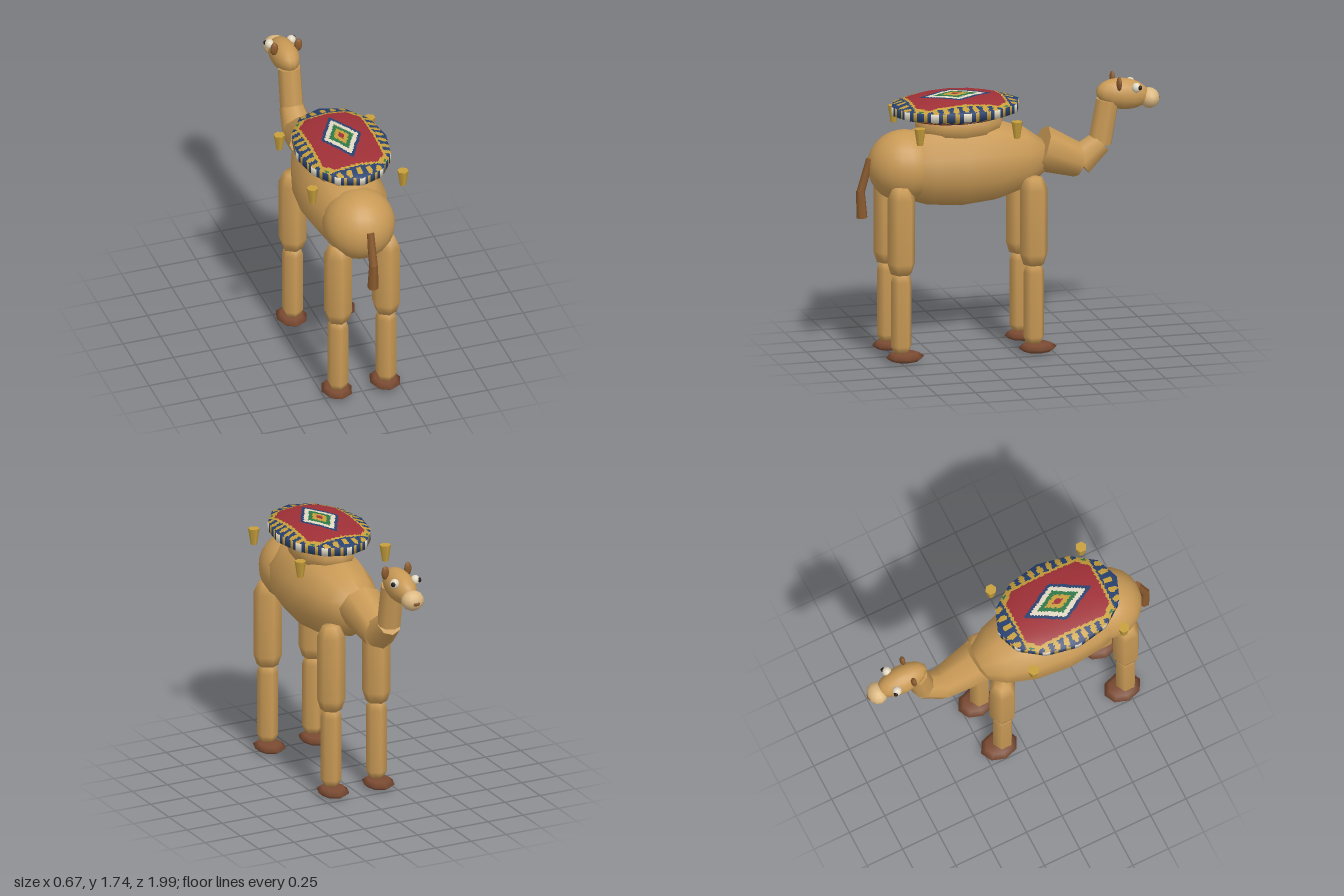
import * as THREE from 'three';

const mat = (name, color) => {
  const m = new THREE.MeshStandardMaterial({ color });
  m.name = name;
  return m;
};

export function createModel() {
  const root = new THREE.Group();
  root.name = 'saddledCamel';
  const tan = mat('tan coat', 0xc99a56), hoof = mat('hoof brown', 0x7a4a32);
  const brown = mat('dark coat', 0x8a5a2e), pale = mat('pale muzzle', 0xdcb982);
  const cream = mat('cream', 0xe2d9c2), dark = mat('pupil', 0x1c1714);
  const red = mat('rug red', 0x9f3037), blue = mat('rug blue', 0x28416f);
  const gold = mat('rug gold', 0xc79f3c), green = mat('rug green', 0x2f7848);

  const add = (name, geo, material, x = 0, y = 0, z = 0) => {
    const m = new THREE.Mesh(geo, material);
    m.name = name;
    m.position.set(x, y, z);
    root.add(m);
    return m;
  };
  const ball = (rx, ry, rz, w = 16, h = 12) => new THREE.SphereGeometry(1, w, h).scale(rx, ry, rz);
  // tapered rod between two points in the x = 0 plane, given as [z, y, radius]
  const rod = (name, a, b, sides, material) => {
    const p = new THREE.Vector3(0, a[1], a[0]), q = new THREE.Vector3(0, b[1], b[0]);
    const d = q.clone().sub(p);
    const m = add(name, new THREE.CylinderGeometry(b[2], a[2], d.length(), sides), material);
    m.position.copy(p).add(q).multiplyScalar(0.5);
    m.quaternion.setFromUnitVectors(new THREE.Vector3(0, 1, 0), d.normalize());
  };
  const lathe = (pts, sides) =>
    new THREE.LatheGeometry(pts.map(([r, y]) => new THREE.Vector2(r, y)), sides);

  // Body
  const barrel = new THREE.SphereGeometry(1, 10, 8).rotateY(Math.PI / 2).rotateX(Math.PI / 2);
  add('body', barrel.scale(0.27, 0.285, 0.58), tan, 0, 1.238, 0.31);
  add('rump', ball(0.23, 0.23, 0.235, 20, 14), tan, 0, 1.24, 0.68);
  add('hump', ball(0.2, 0.15, 0.29, 12, 8), tan, 0, 1.5, 0.32);

  // Neck
  rod('neckBase', [-0.215, 1.288, 0.15], [-0.475, 1.185, 0.107], 8, tan);
  rod('neckMiddle', [-0.465, 1.185, 0.107], [-0.61, 1.3, 0.08], 8, tan);
  rod('neckTop', [-0.605, 1.295, 0.077], [-0.655, 1.57, 0.075], 8, tan);

  // Head
  add('head', ball(0.088, 0.1, 0.175, 14, 10), tan, 0, 1.605, -0.755).rotation.x = -0.15;
  add('muzzle', ball(0.075, 0.065, 0.065, 12, 8), pale, 0, 1.565, -0.93);
  add('nose', ball(0.03, 0.018, 0.025, 8, 6), brown, 0, 1.56, -0.975);
  for (const s of [1, -1]) {
    add('eye', ball(0.03, 0.032, 0.03, 12, 8), cream, s * 0.073, 1.655, -0.825);
    add('pupil', ball(0.015, 0.016, 0.015, 8, 6), dark, s * 0.092, 1.658, -0.842);
    add('ear', ball(0.027, 0.046, 0.018, 8, 6), brown, s * 0.08, 1.69, -0.71);
  }

  // Tail
  rod('tailTop', [0.905, 1.3, 0.025], [0.965, 1.09, 0.028], 6, brown);
  rod('tailTip', [0.967, 1.1, 0.028], [0.957, 0.92, 0.036], 6, brown);

  // Legs and feet
  const upper = lathe([[0, 0.56], [0.068, 0.58], [0.09, 0.65], [0.09, 1.07], [0.055, 1.145], [0, 1.155]], 6);
  const lower = lathe([[0, 0.06], [0.05, 0.07], [0.067, 0.11], [0.067, 0.53], [0.05, 0.585], [0, 0.595]], 6);
  for (const x of [0.161, -0.161]) for (const z of [-0.125, 0.745]) {
    add('upperLeg', upper, tan, x, 0, z);
    add('lowerLeg', lower, tan, x, 0, z);
    add('foot', ball(0.1, 0.036, 0.125, 8, 4), hoof, x, 0.036, z - 0.025);
  }

  // Saddle rug: a twelve-sided cushion whose faces take the woven pattern
  const RX = 0.315, RY = 0.09, RZ = 0.44, SUB = 16, COLS = 12 * SUB;
  const palette = [red, blue, gold, green, cream];
  const [R, B, G, N, C] = [0, 1, 2, 3, 4];
  const pattern = (x, z) => {
    const ax = Math.abs(x), az = Math.abs(z);
    const d = ax / 0.135 + az / 0.24;
    if (d < 1) return d < 0.16 ? R : d < 0.38 ? G : d < 0.6 ? N : d < 0.84 ? C : B;
    if (ax < 0.203 && az < 0.295) return ax + az < 0.43 ? R : ax + az < 0.465 ? G : N;
    if (ax < 0.221 && az < 0.312) return G;
    // gold dots along the blue border
    const onSide = ax >= 0.221;
    const along = onSide ? z : x, across = onSide ? ax - 0.25 : az - 0.355;
    const u = along / 0.065 - Math.round(along / 0.065);
    return Math.hypot(u / 0.28, across / 0.034) < 1 ? G : B;
  };
  const bandStripe = (j) => {
    const c = Math.abs(((j + SUB / 2) % SUB) - SUB / 2 + 0.5);
    return c < 2.5 ? C : c < 4.5 ? B : c < 6.5 ? G : B;
  };
  const rows = [];
  [20, 14, 1, 14, 20].forEach((n, k) => {
    const a = (k * Math.PI) / 5, b = ((k + 1) * Math.PI) / 5;
    for (let i = 0; i < n; i++) rows.push([a, b, i / n, k]);
  });
  rows.push([Math.PI, Math.PI, 0, 5]);
  const lerp = THREE.MathUtils.lerp;
  const point = (i, j) => {
    const [a, b, t] = rows[i];
    const r = lerp(Math.sin(a), Math.sin(b), t), y = lerp(Math.cos(a), Math.cos(b), t);
    const k = Math.floor(j / SUB), f = j / SUB - k;
    const p = (k * Math.PI) / 6, q = ((k + 1) * Math.PI) / 6;
    return [RX * r * lerp(Math.cos(p), Math.cos(q), f), RY * y, RZ * r * lerp(Math.sin(p), Math.sin(q), f)];
  };
  const faces = palette.map(() => []);
  for (let i = 0; i < rows.length - 1; i++) for (let j = 0; j < COLS; j++) {
    const a = point(i, j), b = point(i, j + 1), c = point(i + 1, j), d = point(i + 1, j + 1);
    const color = rows[i][3] === 2 ? bandStripe(j) : pattern((a[0] + d[0]) / 2, (a[2] + d[2]) / 2);
    faces[color].push(...a, ...b, ...c, ...b, ...d, ...c);
  }
  const names = ['rugField', 'rugBorder', 'rugTrim', 'rugGreenWeave', 'rugCreamWeave'];
  faces.forEach((pos, k) => {
    const normals = [];
    for (let i = 0; i < pos.length; i += 3) {
      const n = new THREE.Vector3(pos[i] / RX ** 2, pos[i + 1] / RY ** 2, pos[i + 2] / RZ ** 2).normalize();
      normals.push(n.x, n.y, n.z);
    }
    const geo = new THREE.BufferGeometry();
    geo.setAttribute('position', new THREE.Float32BufferAttribute(pos, 3));
    geo.setAttribute('normal', new THREE.Float32BufferAttribute(normals, 3));
    add(names[k], geo, palette[k], 0, 1.6, 0.345);
  });

  // Tassels at the rug corners
  const tassel = new THREE.CylinderGeometry(0.037, 0.02, 0.108, 6);
  for (const x of [0.302, -0.302]) for (const z of [0.025, 0.662]) add('tassel', tassel, gold, x, 1.502, z);

  return root;
}
